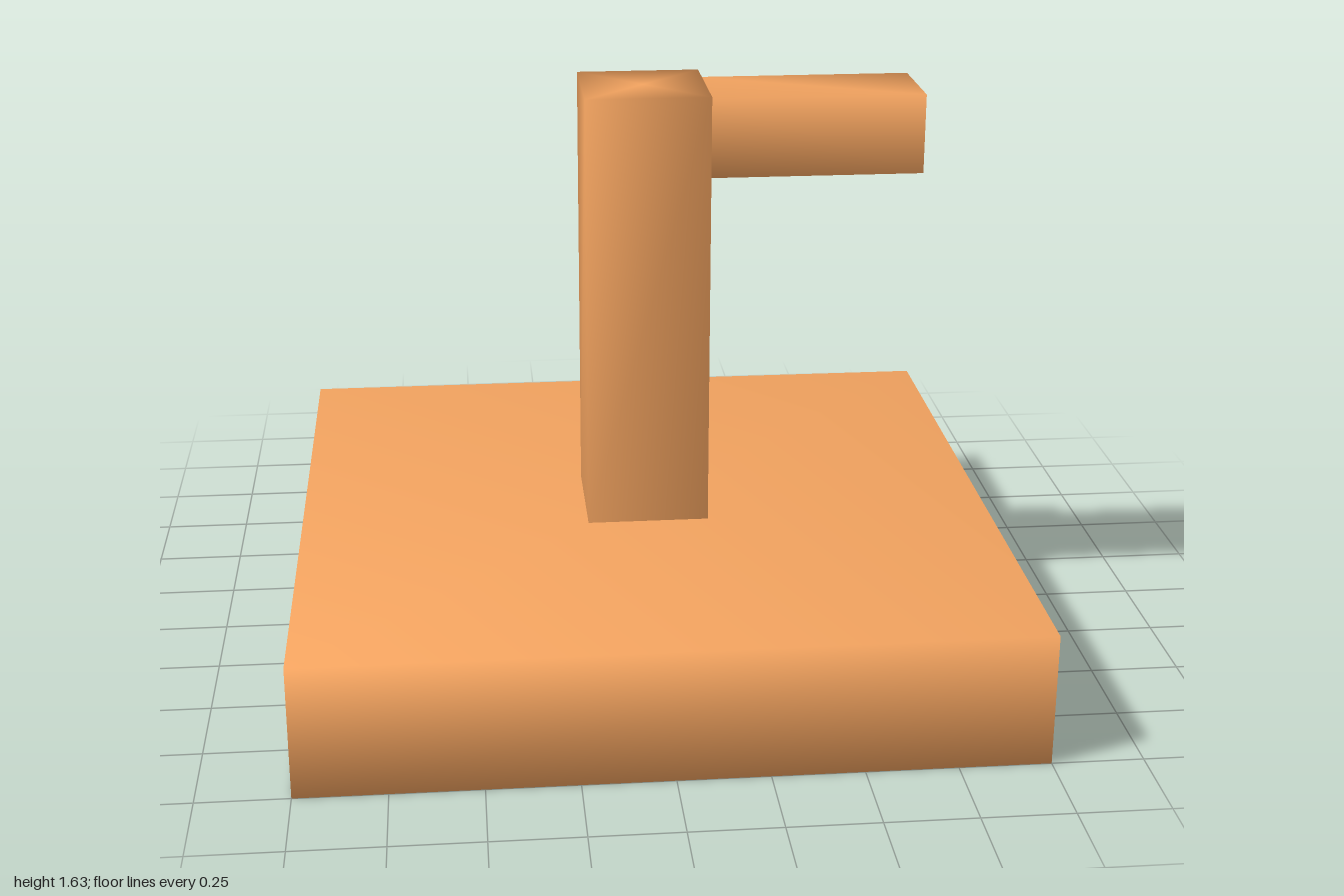
import * as THREE from 'three';
import { mergeVertices } from 'three/addons/utils/BufferGeometryUtils.js';

// Weld shared corners so shading flows softly across every edge
function weld(geometry) {
  geometry.deleteAttribute('normal');
  geometry.deleteAttribute('uv');
  const welded = mergeVertices(geometry);
  welded.computeVertexNormals();
  return welded;
}

// Four-sided prism of unit width and unit height with a centre point on each cap
function unitPrism() {
  return new THREE.CylinderGeometry(Math.SQRT1_2, Math.SQRT1_2, 1, 4, 1, false, Math.PI / 4);
}

export function createModel() {
  const model = new THREE.Group();
  model.name = 'postWithArm';
  const material = new THREE.MeshStandardMaterial({ color: 0xf4a460 });

  const add = (name, geometry) => {
    const mesh = new THREE.Mesh(weld(geometry), material);
    mesh.name = name;
    model.add(mesh);
  };

  // Square slab the post stands on
  add('basePlate', new THREE.BoxGeometry(2, 0.375, 2).translate(0, 0.1875, 0));

  // Upright square post
  add('post', unitPrism().scale(0.348, 1.255, 0.348).translate(0, 1.0, 0));

  // Horizontal arm pointing to the model's left
  add('arm', unitPrism()
    .rotateZ(-Math.PI / 2)
    .scale(0.61, 0.224, 0.274)
    .translate(0.47, 1.502, 0));

  return model;
}
